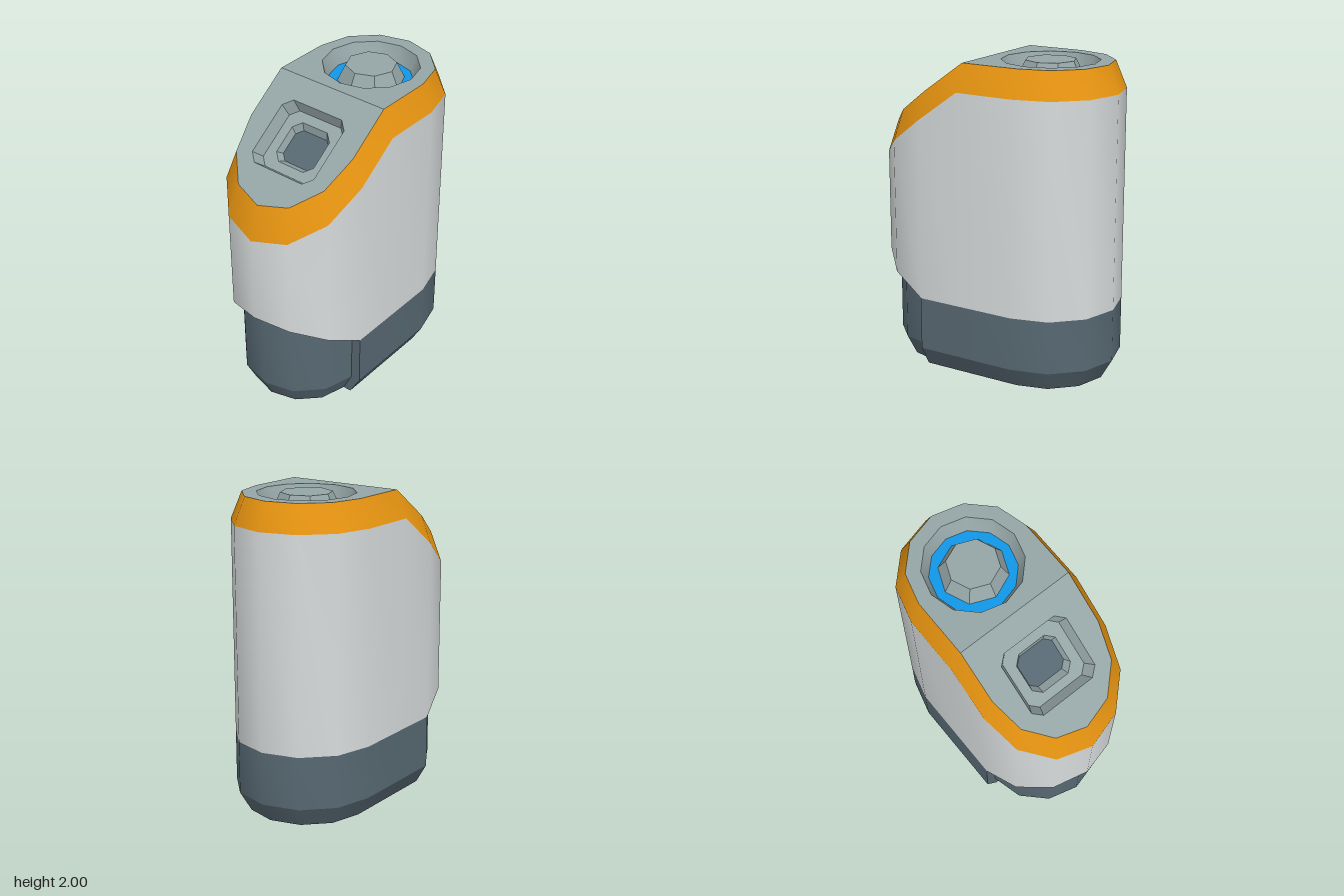
import * as THREE from 'three';
import { toCreasedNormals, mergeGeometries } from 'three/addons/utils/BufferGeometryUtils.js';

const material = (name, color) => Object.assign(new THREE.MeshStandardMaterial({ color }), { name });

const END = 0.335;   // centre of the rounded ends
const FOLD = 0.05;   // where the top starts to slope
const SLOPE = 0.715;
const TILT = Math.atan(SLOPE);
const drop = (z) => Math.max(0, z - FOLD) * SLOPE;
const skirt = (z) => 0.47 + Math.max(0, z - END) * 0.516;

// Half circle of [x, z] points at the front (side 1) or back (side -1)
const arc = (r, side) => Array.from({ length: 7 }, (_, i) => {
  const a = (i * Math.PI) / 6;
  return [side * r * Math.cos(a), side * (END + r * Math.sin(a))];
});

// Plan outline, with a step at the front end when the radii differ
function outline(front, back = front) {
  const step = front !== back;
  return [
    ...arc(front, 1), ...(step ? [[-back, END]] : []), [-back, FOLD],
    ...arc(back, -1), [back, FOLD], ...(step ? [[back, END]] : []),
  ];
}

const raise = (pts, height) => pts.map(([x, z]) => [x, height(z), z]);
const at = (pts, z) => pts.map(([x, y]) => [x, y, z]);

// Skin between successive rings, with a sharp edge at every ring
function loft(rings, closed = true) {
  const bands = [];
  for (let k = 0; k + 1 < rings.length; k++) {
    const [A, B] = [rings[k], rings[k + 1]];
    const v = [];
    for (let i = 0; i < A.length - (closed ? 0 : 1); i++) {
      const j = (i + 1) % A.length;
      v.push(...A[i], ...B[i], ...B[j], ...A[i], ...B[j], ...A[j]);
    }
    const g = new THREE.BufferGeometry();
    g.setAttribute('position', new THREE.Float32BufferAttribute(v, 3));
    bands.push(toCreasedNormals(g, 0.6));
  }
  return mergeGeometries(bands);
}

// Flat face with an optional hole
function plate(pts, hole) {
  const toVec = (p) => p.map(([x, y]) => new THREE.Vector2(x, y));
  const shape = new THREE.Shape(toVec(pts));
  if (hole) shape.holes.push(new THREE.Path(toVec(hole)));
  return new THREE.ShapeGeometry(shape);
}

const polygon = (r, n) => Array.from({ length: n }, (_, i) => {
  const a = (i * 2 * Math.PI) / n;
  return [r * Math.cos(a), r * Math.sin(a)];
});

// Rectangle with cut corners, given by half sizes
const cutRect = (w, h, c) => [
  [w, c - h], [w, h - c], [w - c, h], [c - w, h],
  [-w, h - c], [-w, c - h], [c - w, -h], [w - c, -h],
];

export function createModel() {
  const shellGrey = material('light grey shell', 0xd8dcdc);
  const orange = material('orange rim', 0xf39c12);
  const slate = material('dark slate', 0x576872);
  const panelGrey = material('panel grey', 0x95a5a6);
  const blue = material('blue ring', 0x129cee);

  const model = new THREE.Group();
  const add = (parent, name, geometry, mat) => {
    const mesh = new THREE.Mesh(geometry, mat);
    mesh.name = name;
    parent.add(mesh);
  };

  // Base: chamfered foot, narrower at the front
  const baseTop = outline(0.4, 0.465);
  add(model, 'base', loft([
    baseTop.map(() => [0, 0, 0]),
    raise(outline(0.335, 0.39), () => 0),
    raise(baseTop, () => 0.13),
    raise(baseTop, skirt),
  ]), slate);

  // Shell, its overhanging front lip and the bevelled rim
  const side = outline(0.465);
  const shellTop = raise(side, (z) => 1.83 - drop(z));
  add(model, 'shell', loft([raise(side, skirt), shellTop]), shellGrey);
  add(model, 'shellLip', loft([raise(arc(0.4, 1), skirt), raise(arc(0.465, 1), skirt)], false), shellGrey);
  const inner = outline(0.395);
  add(model, 'rim', loft([shellTop, raise(inner, (z) => 2 - drop(z))]), orange);

  // Flat top with a round groove and a central button
  const top = new THREE.Group();
  top.name = 'topPanel';
  top.position.set(0, 2, -END);
  top.rotation.x = -Math.PI / 2;
  model.add(top);
  const rearPts = inner.filter(([, z]) => z <= FOLD).map(([x, z]) => [x, -(z + END)]);
  const groove = polygon(0.305, 12);
  add(top, 'topFace', plate(rearPts, groove), panelGrey);
  add(top, 'grooveWall', loft([at(polygon(0.265, 12), -0.1), at(groove, 0)]), panelGrey);
  add(top, 'grooveRing', plate(polygon(0.265, 12)).translate(0, 0, -0.1), blue);
  add(top, 'button', loft([
    at(polygon(0, 8), 0.002), at(polygon(0.16, 8), 0.002), at(polygon(0.21, 8), -0.1),
  ]), panelGrey);

  // Sloping panel with a two-step recess and a small window
  const midZ = 0.3625;
  const slope = new THREE.Group();
  slope.name = 'slopePanel';
  slope.position.set(0, 2 - drop(midZ), midZ);
  slope.rotation.x = TILT - Math.PI / 2;
  model.add(slope);
  const frontPts = inner.filter(([, z]) => z >= FOLD).map(([x, z]) => [x, (midZ - z) / Math.cos(TILT)]);
  const recess = cutRect(0.24, 0.225, 0.055);
  const floor = cutRect(0.21, 0.2, 0.05);
  const well = cutRect(0.145, 0.14, 0.05);
  const pane = cutRect(0.13, 0.11, 0.04);
  add(slope, 'slopeFace', plate(frontPts, recess), panelGrey);
  add(slope, 'recessWall', loft([at(floor, -0.078), at(recess, 0)]), panelGrey);
  add(slope, 'recessFloor', plate(floor, well).translate(0, 0, -0.078), panelGrey);
  add(slope, 'wellWall', loft([at(pane, -0.125), at(well, -0.078)]), panelGrey);
  add(slope, 'window', plate(pane).translate(0, 0, -0.125), slate);

  return model;
}
